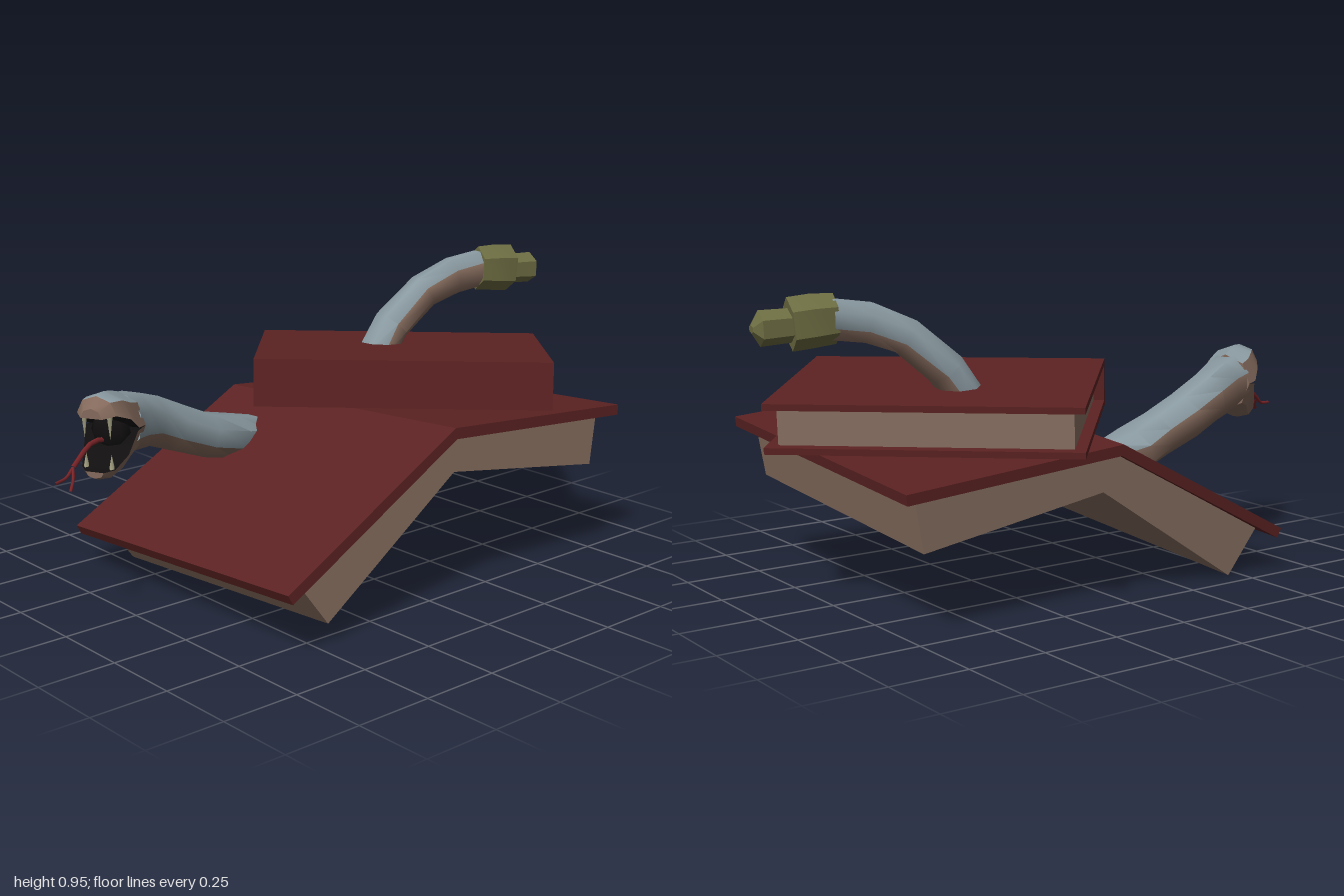
import * as THREE from 'three';
import { toCreasedNormals } from 'three/addons/utils/BufferGeometryUtils.js';

const mat = (name, color, side = THREE.FrontSide) => {
  const m = new THREE.MeshStandardMaterial({ color, side });
  m.name = name;
  return m;
};
const V = (x, y, z) => new THREE.Vector3(x, y, z);

// Skin a list of rings; matOf(k) picks the material slot of side k
function loft(name, rings, materials, matOf = () => 0, capMat = 0, crease = 0.9) {
  const buckets = materials.map(() => []);
  const tri = (slot, ...pts) => pts.forEach(p => buckets[slot].push(p.x, p.y, p.z));
  const n = rings[0].length;
  for (let i = 0; i < rings.length - 1; i++) {
    for (let k = 0; k < n; k++) {
      const j = (k + 1) % n, a = rings[i], b = rings[i + 1];
      tri(matOf(k, i), a[k], b[k], a[j]);
      tri(matOf(k, i), b[k], b[j], a[j]);
    }
  }
  const mid = r => r.reduce((s, p) => s.add(p), V(0, 0, 0)).divideScalar(n);
  const first = rings[0], last = rings[rings.length - 1];
  for (let k = 0; k < n; k++) {
    const j = (k + 1) % n;
    tri(capMat, mid(first), first[k], first[j]);
    tri(capMat, mid(last), last[j], last[k]);
  }
  let geo = new THREE.BufferGeometry();
  geo.setAttribute('position', new THREE.Float32BufferAttribute(buckets.flat(), 3));
  geo.computeVertexNormals();
  geo = toCreasedNormals(geo, crease);
  geo.clearGroups();
  let start = 0;
  buckets.forEach((b, s) => { geo.addGroup(start, b.length / 3, s); start += b.length / 3; });
  const mesh = new THREE.Mesh(geo, materials);
  mesh.name = name;
  return mesh;
}

// Rings around a path of [x, y, z, half width, half height]
function pathRings(path, sides) {
  const pts = path.map(p => V(p[0], p[1], p[2]));
  return path.map((p, i) => {
    const t = pts[Math.min(i + 1, pts.length - 1)].clone().sub(pts[Math.max(i - 1, 0)]).normalize();
    const s = t.clone().cross(V(0, 1, 0)).normalize();
    const u = s.clone().cross(t);
    return Array.from({ length: sides }, (_, k) => {
      const a = (k + 0.5) / sides * Math.PI * 2;
      return pts[i].clone().addScaledVector(s, Math.cos(a) * p[3]).addScaledVector(u, Math.sin(a) * p[4]);
    });
  });
}

// Half-arch rings for a jaw: rows of [z, half width, base y, arch height]
function jawRings(rows, startAngle) {
  return rows.map(([z, w, base, h]) => Array.from({ length: 5 }, (_, k) => {
    const a = startAngle + k / 4 * Math.PI;
    return V(-w * Math.cos(a), base + h * Math.sin(a), z);
  }));
}

function prism(name, points, z0, depth, material) {
  const shape = new THREE.Shape(points.map(p => new THREE.Vector2(...p)));
  const geo = new THREE.ExtrudeGeometry(shape, { depth, bevelEnabled: false });
  const mesh = new THREE.Mesh(geo, material);
  mesh.position.z = z0;
  mesh.name = name;
  return mesh;
}

function box(name, size, pos, material) {
  const mesh = new THREE.Mesh(new THREE.BoxGeometry(...size), material);
  mesh.position.set(...pos);
  mesh.name = name;
  return mesh;
}

export function createModel() {
  const cover = mat('coverRed', 0x5c2222);
  const paper = mat('paperTan', 0x8a7162);
  const scales = mat('scaleGrey', 0x8a9aa1);
  const belly = mat('bellyTan', 0x846a5c);
  const rattle = mat('rattleOlive', 0x6e6e43);
  const mouth = mat('mouthBlack', 0x100e0e);
  const fang = mat('fangCream', 0xa8a585);
  const tongueRed = mat('tongueRed', 0x7a2428);

  const model = new THREE.Group();
  model.name = 'snakeAndBooks';

  // Open book lying face down
  const openBook = new THREE.Group();
  openBook.name = 'openBook';
  openBook.add(
    prism('openCover', [[-0.645, 0.17], [-0.63, 0.14], [0.035, 0.49], [0.78, 0.432], [0.785, 0.465], [0.03, 0.525]],
      -0.465, 1.07, cover),
    prism('openPages', [[-0.565, 0.172], [-0.46, 0.028], [0.07, 0.373], [0.7, 0.273], [0.735, 0.437], [0.035, 0.492]],
      -0.428, 0.98, paper));
  openBook.rotation.x = -0.066;
  model.add(openBook);

  // Closed book on top: local x runs along the spine, z points to the spine
  const closedBook = new THREE.Group();
  closedBook.name = 'closedBook';
  const L = 0.95, W = 0.667, H = 0.153, T = 0.02;
  for (const s of [-1, 1]) {
    closedBook.add(box(s > 0 ? 'topCover' : 'bottomCover', [L, T, W], [0, s * (H - T) / 2, 0], cover));
  }
  closedBook.add(
    box('spine', [L, H - 2 * T, 0.025], [0, 0, W / 2 - 0.0125], cover),
    box('pages', [L - 0.07, H - 2 * T, W - 0.06], [0, 0, 0.005], paper));
  const along = V(0.7, -0.008, 0.64).normalize();
  const across = V(-0.45, 0.053, 0.49).normalize();
  const up = across.clone().cross(along).normalize();
  closedBook.quaternion.setFromRotationMatrix(
    new THREE.Matrix4().makeBasis(along, up, along.clone().cross(up)));
  closedBook.position.set(0.37, 0.584, -0.025);
  model.add(closedBook);

  // Snake bodies: grey back, tan belly
  const skin = [scales, belly];
  const bellySide = k => (k >= 4 && k <= 7 ? 1 : 0);
  model.add(loft('frontBody', pathRings([
    [-0.08, 0.385, -0.26, 0.06, 0.07], [-0.2, 0.41, -0.24, 0.1, 0.075], [-0.33, 0.445, -0.21, 0.085, 0.075],
    [-0.45, 0.495, -0.21, 0.085, 0.08], [-0.56, 0.54, -0.19, 0.078, 0.085], [-0.65, 0.562, -0.15, 0.08, 0.095],
    [-0.72, 0.572, -0.115, 0.088, 0.096]], 8), skin, bellySide));
  model.add(loft('tailBody', pathRings([
    [0.35, 0.61, -0.13, 0.075, 0.06], [0.42, 0.71, -0.125, 0.075, 0.06], [0.54, 0.815, -0.095, 0.06, 0.06],
    [0.65, 0.86, -0.065, 0.05, 0.065], [0.77, 0.876, -0.045, 0.045, 0.065]], 8), skin, bellySide));

  // Rattle at the tail end
  model.add(loft('rattleBase', pathRings([
    [0.75, 0.876, -0.045, 0.05, 0.075], [0.82, 0.872, -0.033, 0.062, 0.08], [0.885, 0.865, -0.022, 0.058, 0.08]], 6),
    [rattle], undefined, 0, 0.3));
  model.add(loft('rattleTip', pathRings([
    [0.87, 0.863, -0.024, 0.045, 0.05], [0.975, 0.858, -0.008, 0.05, 0.053], [0.998, 0.857, -0.005, 0.02, 0.012]], 6),
    [rattle], undefined, 0, 0.3));

  // Head with open jaws, local z points forward
  const head = new THREE.Group();
  head.name = 'head';
  const jawSkin = [scales, belly, mouth];
  head.add(
    loft('upperJaw', jawRings([[-0.02, 0.088, 0, 0.095], [0.03, 0.092, 0.005, 0.105], [0.07, 0.085, 0.04, 0.078],
      [0.12, 0.065, 0.06, 0.055], [0.155, 0.035, 0.055, 0.03]], 0), jawSkin,
      (k, i) => (k === 4 ? 2 : k === 0 || k === 3 || i === 3 ? 1 : 0), 1, 0.7),
    loft('lowerJaw', jawRings([[-0.02, 0.088, 0, 0.095], [0.03, 0.088, -0.005, 0.11], [0.07, 0.075, -0.07, 0.06],
      [0.12, 0.055, -0.105, 0.035], [0.145, 0.03, -0.11, 0.02]], Math.PI), jawSkin, k => (k === 4 ? 2 : 1), 1, 0.7));
  // Dark throat behind the open jaws
  const throat = new THREE.Mesh(new THREE.SphereGeometry(0.06, 8, 6), mouth);
  throat.name = 'throat';
  throat.scale.set(1.1, 1, 0.6);
  throat.position.set(0, -0.012, 0.035);
  head.add(throat);
  // Fangs
  for (const s of [-1, 1]) {
    for (const [name, len, y, z, flip] of [['upperFang', 0.08, 0.025, 0.12, Math.PI], ['lowerFang', 0.05, -0.085, 0.115, 0]]) {
      const cone = new THREE.Mesh(new THREE.ConeGeometry(0.01, len, 5), fang);
      cone.name = name;
      cone.position.set(s * 0.042, y, z);
      cone.rotation.x = flip;
      head.add(cone);
    }
  }
  head.position.set(-0.72, 0.572, -0.115);
  head.rotation.y = Math.atan2(-0.88, 0.47);
  model.add(head);

  // Forked tongue
  const strands = [
    ['tongue', [V(-0.74, 0.53, -0.11), V(-0.83, 0.54, -0.085), V(-0.92, 0.49, -0.05)], 0.008],
    ['tongueFork', [V(-0.92, 0.49, -0.05), V(-0.95, 0.468, -0.04), V(-0.998, 0.463, -0.025)], 0.005],
    ['tongueFork', [V(-0.92, 0.49, -0.05), V(-0.94, 0.465, -0.02), V(-0.97, 0.44, 0.01)], 0.005]];
  for (const [name, pts, r] of strands) {
    const mesh = new THREE.Mesh(new THREE.TubeGeometry(new THREE.CatmullRomCurve3(pts), 6, r, 5), tongueRed);
    mesh.name = name;
    model.add(mesh);
  }
  return model;
}
